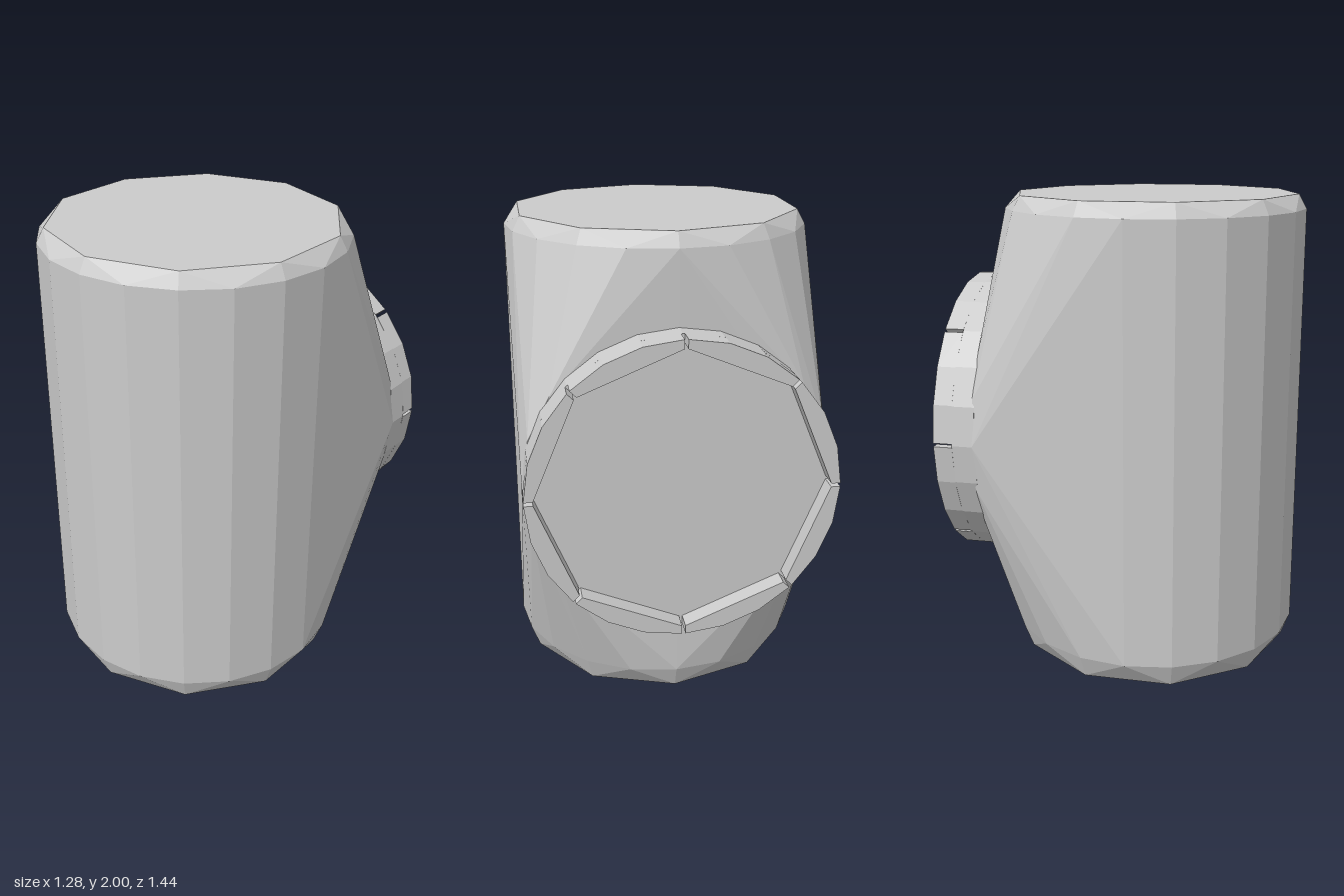
import * as THREE from 'three';
import { ConvexGeometry } from 'three/addons/geometries/ConvexGeometry.js';

const material = new THREE.MeshStandardMaterial({ color: 0xcccccc, flatShading: true });

function add(group, name, geometry) {
  const mesh = new THREE.Mesh(geometry, material);
  mesh.name = name;
  group.add(mesh);
  return mesh;
}

// Points evenly spaced on a circle, placed by a rule.
function ring(count, radius, place, offset = 0) {
  return Array.from({ length: count }, (_, i) => {
    const a = offset + (i / count) * Math.PI * 2;
    return place(Math.cos(a) * radius, Math.sin(a) * radius);
  });
}

export function createModel() {
  const group = new THREE.Group();
  const axisZ = 0.082, portY = 1.01, portR = 0.627, backZ = -0.555;
  const floorZ = -0.64, endZ = -0.72;
  const level = (y) => (x, z) => new THREE.Vector3(x, y, z + axisZ);

  // Chamfered upright cylinder blended into the round port at the back
  add(group, 'body', new ConvexGeometry([
    ...ring(10, 0.6, level(0), Math.PI / 10),
    ...ring(20, 0.638, level(0.1)),
    ...ring(20, 0.638, level(1.94)),
    ...ring(10, 0.605, level(2), Math.PI / 10),
    ...ring(20, portR, (x, y) => new THREE.Vector3(x, y + portY, backZ)),
  ]));

  // Solid base of the port, slightly sunk into the body
  const depth = backZ - floorZ + 0.01;
  const base = add(group, 'portBase',
    new THREE.CylinderGeometry(portR, portR, depth, 24).rotateX(Math.PI / 2));
  base.position.set(0, portY, floorZ + depth / 2);

  // Rim: eight segments with an octagonal inside and thin slits at the corners
  const rim = new THREE.Group();
  rim.name = 'portRim';
  rim.position.set(0, portY, endZ);
  const step = Math.PI / 4, gap = 0.012, innerR = 0.59;
  for (let i = 0; i < 8; i++) {
    const a = i * step + gap, b = (i + 1) * step - gap;
    const at = (r, t) => new THREE.Vector2(Math.cos(t) * r, Math.sin(t) * r);
    const outline = [at(innerR, a)];
    for (let k = 0; k <= 3; k++) outline.push(at(portR, a + ((b - a) * k) / 3));
    outline.push(at(innerR, b));
    add(rim, 'rimSegment', new THREE.ExtrudeGeometry(new THREE.Shape(outline),
      { depth: floorZ - endZ, bevelEnabled: false }));
  }
  group.add(rim);
  return group;
}
